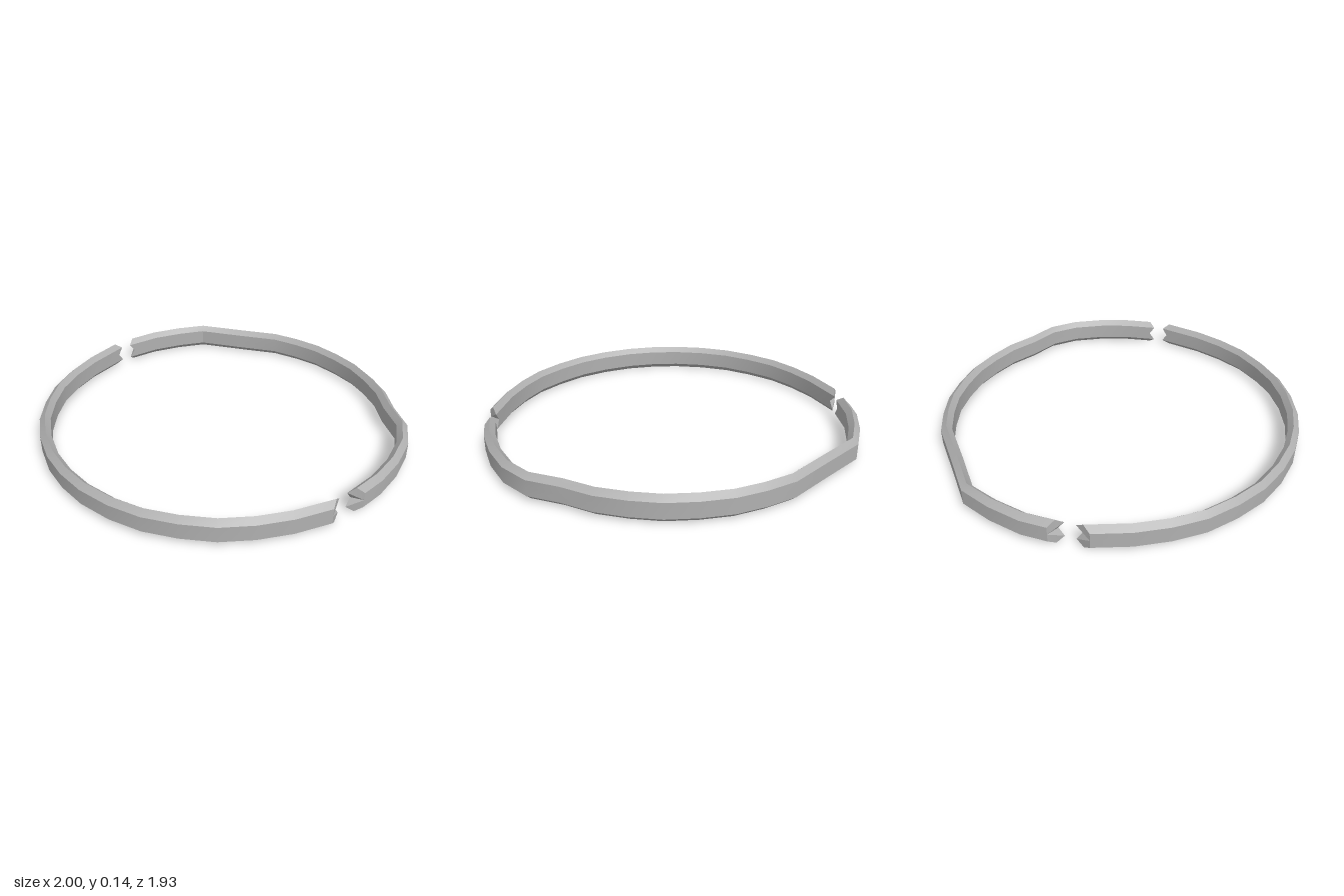
import * as THREE from 'three';
import { toCreasedNormals } from 'three/addons/utils/BufferGeometryUtils.js';

const WIDTH = 0.058;

// Cross-section: [inward fraction, height, how far it runs past the end of the path].
// It starts at the middle of the outer face; the inner face has a V notch at each end.
const SECTION = [
  [0, 0.07, 0], [0, 0.028, 0], [0.53, 0, 0.028], [1, 0.028, 0.06],
  [1, 0.07, 0.03], [1, 0.112, 0.06], [0.53, 0.14, 0.028], [0, 0.112, 0],
];

// Sweeps the section along an outer outline of [x, z] points, inward side on the right.
function sweptArc(path) {
  const pts = path.map(([x, z]) => new THREE.Vector2(x, z));
  const last = pts.length - 1;
  const rings = pts.map((p, i) => {
    const a = pts[Math.max(i - 1, 0)], b = pts[Math.min(i + 1, last)];
    const t = b.clone().sub(a).normalize();
    const run = i === 0 ? -1 : i === last ? 1 : 0;
    return SECTION.map(([f, y, ext]) => [
      p.x - t.y * f * WIDTH + t.x * ext * run,
      y,
      p.y + t.x * f * WIDTH + t.y * ext * run,
    ]);
  });

  const pos = [];
  const tri = (a, b, c) => pos.push(...a, ...b, ...c);
  const n = SECTION.length;
  for (let i = 0; i < last; i++) {
    for (let j = 0; j < n; j++) {
      const k = (j + 1) % n;
      tri(rings[i][j], rings[i + 1][j], rings[i + 1][k]);
      tri(rings[i][j], rings[i + 1][k], rings[i][k]);
    }
  }
  // Slanted end caps
  for (let j = 1; j < n - 1; j++) {
    tri(rings[0][0], rings[0][j], rings[0][j + 1]);
    tri(rings[last][0], rings[last][j + 1], rings[last][j]);
  }
  const geo = new THREE.BufferGeometry();
  geo.setAttribute('position', new THREE.Float32BufferAttribute(pos, 3));
  return toCreasedNormals(geo, 0.5);
}

export function createModel() {
  const group = new THREE.Group();
  group.name = 'splitRing';
  const metal = new THREE.MeshStandardMaterial({ color: 0xb0b0b0 });
  metal.name = 'greyMetal';

  // Front half: regular arc, mirrored about x = 0
  const side = [
    [0.99, 0.112], [0.935, 0.295], [0.86, 0.455], [0.765, 0.6],
    [0.64, 0.722], [0.5, 0.826], [0.34, 0.9], [0.165, 0.947],
  ];
  const mirrored = side.map(([x, z]) => [-x, z]).reverse();
  const front = new THREE.Mesh(sweptArc([...side, [0, 0.96], ...mirrored]), metal);
  front.name = 'frontHalfRing';

  // Back half: flattened on one side, dented on the other
  const back = new THREE.Mesh(sweptArc([
    [-1, -0.083], [-0.99, -0.217], [-0.94, -0.39], [-0.866, -0.553],
    [-0.66, -0.707], [-0.46, -0.86], [-0.31, -0.92], [-0.16, -0.96], [0, -0.97],
    [0.16, -0.96], [0.31, -0.92], [0.46, -0.86], [0.6, -0.767],
    [0.757, -0.687], [0.87, -0.553], [0.945, -0.385], [0.988, -0.217], [1, -0.083],
  ]), metal);
  back.name = 'backHalfRing';

  group.add(front, back);
  return group;
}
